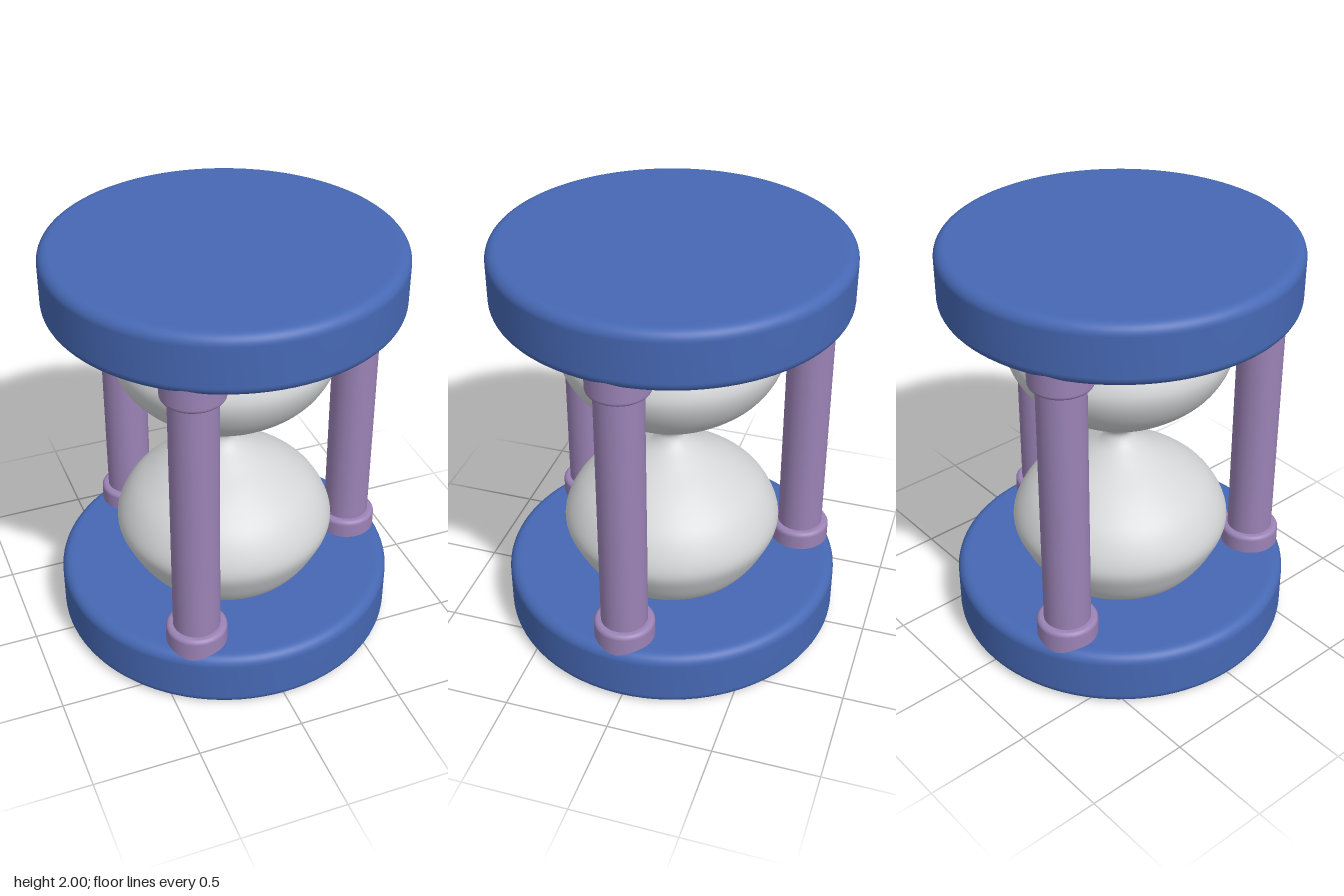
import * as THREE from 'three';

// Solid disc turned on the y axis, with rounded top and bottom rims
function roundedDisc(radius, y0, y1, bevel, segments) {
  const pts = [new THREE.Vector2(0, y0), new THREE.Vector2(radius - bevel - 0.01, y0)];
  const steps = 8;
  for (const [cy, start] of [[y0 + bevel, -Math.PI / 2], [y1 - bevel, 0]]) {
    for (let i = 0; i <= steps; i++) {
      const a = start + (i / steps) * Math.PI / 2;
      pts.push(new THREE.Vector2(radius - bevel + Math.cos(a) * bevel, cy + Math.sin(a) * bevel));
    }
  }
  pts.push(new THREE.Vector2(radius - bevel - 0.01, y1), new THREE.Vector2(0, y1));
  return new THREE.LatheGeometry(pts, segments);
}

export function createModel() {
  const model = new THREE.Group();
  model.name = 'hourglass';

  const blue = new THREE.MeshStandardMaterial({ name: 'blue', color: 0x4668b4 });
  const purple = new THREE.MeshStandardMaterial({ name: 'purple', color: 0x9b83b6 });
  const glass = new THREE.MeshStandardMaterial({ name: 'paleGrey', color: 0xd4d6d8 });

  const add = (parent, name, geometry, material) => {
    const mesh = new THREE.Mesh(geometry, material);
    mesh.name = name;
    parent.add(mesh);
    return mesh;
  };

  // End plates
  add(model, 'bottomPlate', roundedDisc(0.815, 0, 0.285, 0.05, 96), blue);
  add(model, 'topPlate', roundedDisc(0.815, 1.715, 2, 0.05, 96), blue);

  // Double bulb: lower half profile mirrored about the neck at y = 1
  const half = [
    [0.3, 0.2], [0.407, 0.285], [0.487, 0.41], [0.527, 0.53], [0.465, 0.68],
    [0.335, 0.8], [0.17, 0.9], [0.088, 0.955],
  ];
  const profile = [
    ...half,
    [0.062, 1],
    ...half.map(([r, y]) => [r, 2 - y]).reverse(),
  ].map(([r, y]) => new THREE.Vector3(r, y, 0));
  const bulbPoints = new THREE.CatmullRomCurve3(profile).getPoints(96)
    .map((p) => new THREE.Vector2(p.x, p.y));
  add(model, 'glassBulb', new THREE.LatheGeometry(bulbPoints, 72), glass).material.side = THREE.DoubleSide;

  // Three pillars with a collar at each end
  for (let i = 0; i < 3; i++) {
    const angle = THREE.MathUtils.degToRad(2 + 120 * i);
    const pillar = new THREE.Group();
    pillar.name = `pillar${i + 1}`;
    pillar.position.set(Math.cos(angle) * 0.664, 0, Math.sin(angle) * 0.664);
    const shaft = add(pillar, 'shaft', new THREE.CylinderGeometry(0.11, 0.11, 1.5, 40, 1, true), purple);
    shaft.position.y = 1;
    add(pillar, 'lowerCollar', roundedDisc(0.143, 0.235, 0.378, 0.022, 40), purple);
    add(pillar, 'upperCollar', roundedDisc(0.143, 1.622, 1.765, 0.022, 40), purple);
    model.add(pillar);
  }

  return model;
}
